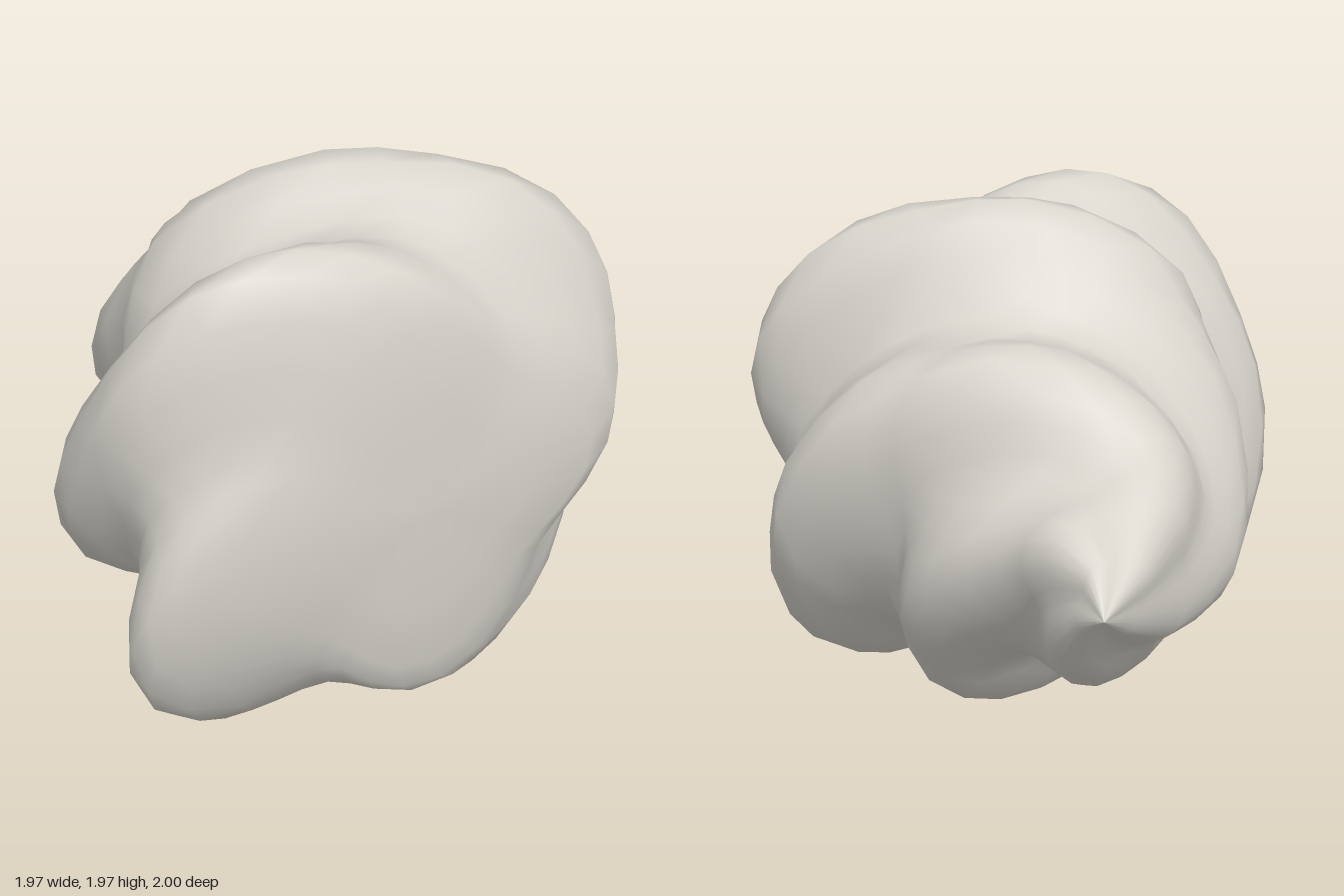
import * as THREE from 'three';

// Cross-sections from the flat front to the bent tip: [z, radius, centre x, centre y]
const PROFILE = [
  [0.985, 0, 0, 1], [0.978, 0.4, 0, 1.01], [0.95, 0.66, 0, 1], [0.91, 0.79, 0, 1], [0.87, 0.865, -0.01, 1],
  [0.81, 0.95, -0.02, 1], [0.75, 1.02, -0.02, 1], [0.69, 1.06, -0.02, 1], [0.62, 1.07, -0.01, 1],
  [0.54, 1.05, 0, 1], [0.45, 1.015, 0, 1], [0.37, 1, 0, 1], [0.3, 0.985, 0, 1],
  [0.2, 0.945, 0, 1], [0.1, 0.895, 0.01, 1], [0.02, 0.81, 0.03, 1], [-0.06, 0.76, 0.05, 1.01],
  [-0.12, 0.73, 0.06, 1.01], [-0.2, 0.69, 0.06, 1.01], [-0.33, 0.615, 0.07, 1], [-0.45, 0.53, 0.06, 0.99],
  [-0.55, 0.455, 0.07, 0.98], [-0.64, 0.39, 0.12, 1], [-0.74, 0.31, 0.18, 1.02], [-0.88, 0.145, 0.27, 1.05],
  [-1, 0, 0.36, 1.05],
];
const LOBES = 4;
const SEGMENTS = 32;
const DEPTH = 0.11; // half the height of the ridges, for a unit section

// Soft four-lobed outline
const lobeRadius = (angle) => 1 - DEPTH + DEPTH * Math.cos(LOBES * angle);

// Ridges wind around the axis towards the tip
const twist = (z) => THREE.MathUtils.degToRad(45 + (0.64 - z) * 128.6);

function swirlGeometry() {
  const positions = [];
  const indices = [];
  const last = PROFILE.length - 1;
  PROFILE.forEach(([z, radius, cx, cy], i) => {
    for (let j = 0; j < SEGMENTS; j++) {
      const a = (j / SEGMENTS) * Math.PI * 2;
      const r = radius * lobeRadius(a);
      const x = cx + r * Math.cos(a + twist(z));
      const y = cy + r * Math.sin(a + twist(z));
      // the front face leans slightly
      const lean = 0.045 * x * THREE.MathUtils.smoothstep(z, 0.8, 0.95);
      positions.push(x, y, z + lean);
      if (i === last) continue;
      const n = (j + 1) % SEGMENTS;
      const p = i * SEGMENTS;
      const q = p + SEGMENTS;
      if (i > 0) indices.push(p + j, q + j, p + n);
      if (i < last - 1) indices.push(p + n, q + j, q + n);
    }
  });
  const geometry = new THREE.BufferGeometry();
  geometry.setAttribute('position', new THREE.Float32BufferAttribute(positions, 3));
  geometry.setIndex(indices);
  geometry.computeVertexNormals();
  return geometry;
}

export function createModel() {
  const group = new THREE.Group();
  group.name = 'swirl';
  const cream = new THREE.MeshStandardMaterial({ color: 0xd6d3cb });
  cream.name = 'cream';
  const body = new THREE.Mesh(swirlGeometry(), cream);
  body.name = 'twistedDollop';
  group.add(body);
  return group;
}
